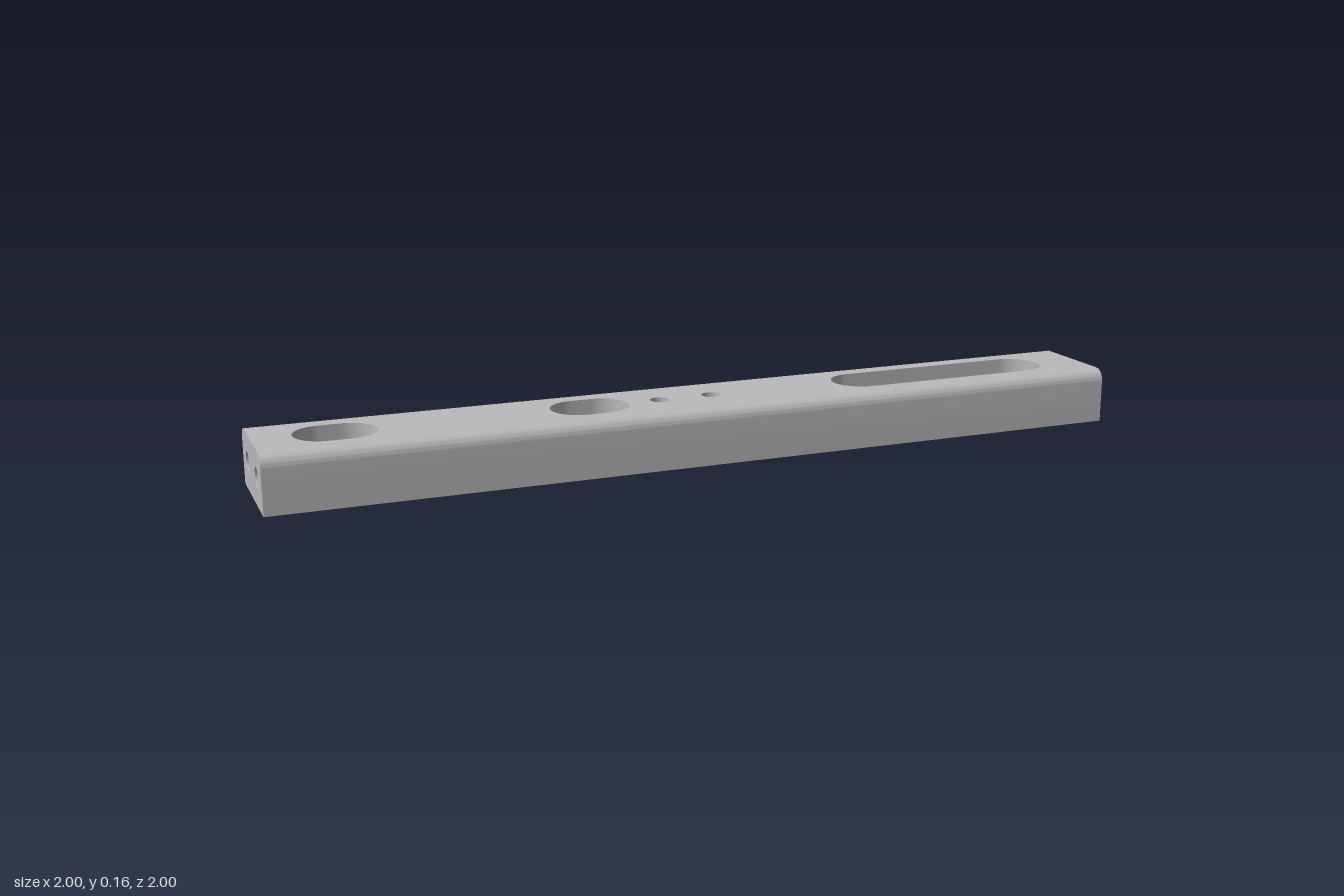
import * as THREE from 'three';
import { toCreasedNormals } from 'three/addons/utils/BufferGeometryUtils.js';

const L = 2.508, W = 0.32, H = 0.16, R = 0.035; // bar length, width, height, edge radius
const metal = new THREE.MeshStandardMaterial({ color: 0xbababa });
metal.name = 'grey metal';

function mesh(name, geometry) {
  const m = new THREE.Mesh(geometry, metal);
  m.name = name;
  return m;
}

// Points along an arc
function arc(cx, cy, r, from, to, n) {
  return Array.from({ length: n + 1 }, (_, i) => {
    const a = from + (to - from) * i / n;
    return new THREE.Vector2(cx + r * Math.cos(a), cy + r * Math.sin(a));
  });
}
const circle = (x, y, r) => arc(x, y, r, 0, Math.PI * 2, 32).slice(0, -1);
// Slot with round ends, its end centres at x0 and x1
const slot = (x0, x1, r) => [
  ...arc(x1, 0, r, -Math.PI / 2, Math.PI / 2, 24),
  ...arc(x0, 0, r, Math.PI / 2, Math.PI * 1.5, 24),
];
const rect = (x0, x1, y0, y1) =>
  [[x0, y0], [x1, y0], [x1, y1], [x0, y1]].map(([x, y]) => new THREE.Vector2(x, y));

// Walls swept from z = 0 to z = -depth, facing the left of the path
function walls(points, depth, closed) {
  const pos = [];
  const count = closed ? points.length : points.length - 1;
  for (let i = 0; i < count; i++) {
    const a = points[i], b = points[(i + 1) % points.length];
    pos.push(a.x, a.y, 0, b.x, b.y, 0, b.x, b.y, -depth);
    pos.push(a.x, a.y, 0, b.x, b.y, -depth, a.x, a.y, -depth);
  }
  const g = new THREE.BufferGeometry();
  g.setAttribute('position', new THREE.Float32BufferAttribute(pos, 3));
  g.computeVertexNormals();
  return toCreasedNormals(g, 0.6);
}

// Flat face with blind recesses cut into it
function face(name, outline, recesses) {
  const group = new THREE.Group();
  group.name = name;
  const shape = new THREE.Shape(outline);
  for (const [label, points, depth] of recesses) {
    shape.holes.push(new THREE.Path(points));
    group.add(mesh(label + 'Wall', walls(points, depth, true)));
    const floor = new THREE.ShapeGeometry(new THREE.Shape(points));
    floor.translate(0, 0, -depth);
    group.add(mesh(label + 'Floor', floor));
  }
  group.add(mesh(name + 'Surface', new THREE.ShapeGeometry(shape)));
  return group;
}

export function createModel() {
  const model = new THREE.Group();
  model.name = 'mountingBar';
  const bar = new THREE.Group();
  bar.name = 'bar';
  bar.rotation.y = Math.PI / 4;
  model.add(bar);
  const w = W / 2, l = L / 2;

  // Top with three slots and two small holes
  const top = face('top', rect(-l, l, -w + R, w - R), [
    ['longSlot', slot(0.506, 1.036, 0.082), 0.095],
    ['middleSlot', slot(-0.362, -0.302, 0.082), 0.095],
    ['endSlot', slot(-1.066, -1.006, 0.082), 0.095],
    ['smallHole', circle(0.033, 0, 0.028), 0.08],
    ['smallHole', circle(-0.124, 0, 0.028), 0.08],
  ]);
  top.rotation.x = -Math.PI / 2;
  top.position.y = H;

  // Underside with a rectangular channel and six screw holes
  const screwHoles = [];
  for (const x of [0.314, -0.52, -0.88])
    for (const s of [-1, 1]) screwHoles.push(['screwHole', circle(x, s * 0.115, 0.028), 0.07]);
  const bottom = face('bottom', rect(-l, l, -w, w), [
    ['channel', rect(-0.86, 0.205, -0.063, 0.063), 0.055],
    ...screwHoles,
  ]);
  bottom.rotation.x = Math.PI / 2;
  bar.add(top, bottom);

  // Side profiles with rounded upper edges
  const rightProfile = [new THREE.Vector2(w, 0), ...arc(w - R, H - R, R, 0, Math.PI / 2, 10)];
  const leftProfile = [...arc(-w + R, H - R, R, Math.PI / 2, Math.PI, 10), new THREE.Vector2(-w, 0)];

  // Ends with two bolt holes each
  for (const s of [-1, 1]) {
    const end = face(s > 0 ? 'backEnd' : 'frontEnd', [...rightProfile, ...leftProfile], [
      ['boltHole', circle(-0.078, 0.082, 0.028), 0.1],
      ['boltHole', circle(0.078, 0.082, 0.028), 0.1],
    ]);
    end.rotation.y = s * Math.PI / 2;
    end.position.x = s * l;
    bar.add(end);
  }

  // Long sides
  for (const [name, profile] of [['rightSide', rightProfile], ['leftSide', leftProfile]]) {
    const side = mesh(name, walls([...profile].reverse(), L, false));
    side.rotation.y = Math.PI / 2;
    side.position.x = l;
    bar.add(side);
  }
  return model;
}
